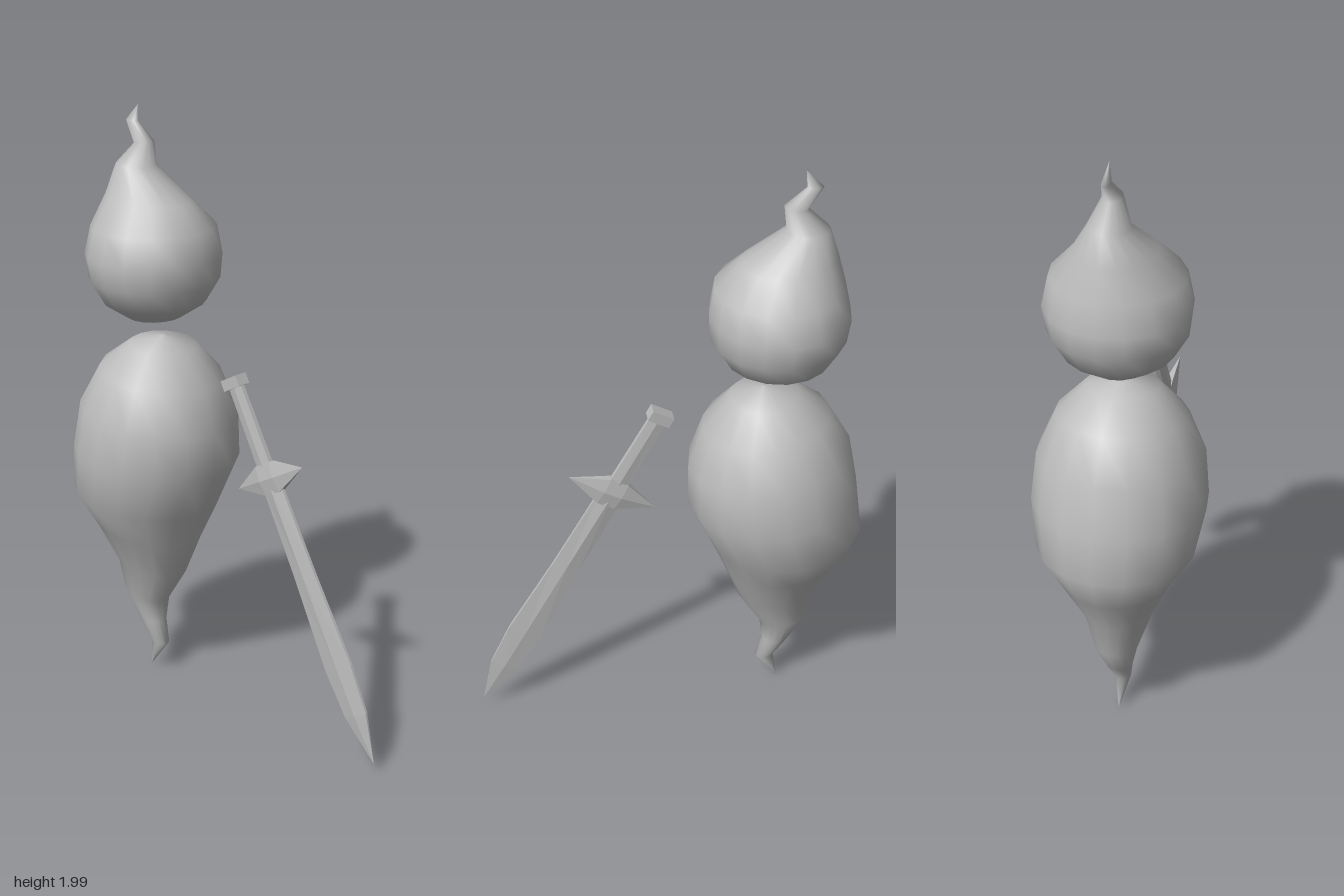
import * as THREE from 'three';

const grey = new THREE.MeshStandardMaterial({ color: 0xbcbcbc });
grey.name = 'plain grey';

// Skin a stack of closed rings, listed from top to bottom.
function loft(rings) {
  const n = rings[0].length;
  const index = [];
  for (let i = 0; i < rings.length - 1; i++) {
    for (let j = 0; j < n; j++) {
      const a = i * n + j, b = i * n + (j + 1) % n;
      index.push(a, b, a + n, b, b + n, a + n);
    }
  }
  const geo = new THREE.BufferGeometry();
  geo.setAttribute('position', new THREE.Float32BufferAttribute(rings.flat(2), 3));
  geo.setIndex(index);
  geo.computeVertexNormals();
  return geo;
}

// Smooth 16-sided form: each row is left x, left y, right x, right y, half depth.
function softForm(rows) {
  return loft(rows.map(([xl, yl, xr, yr, d]) => Array.from({ length: 16 }, (_, j) => {
    const a = j / 16 * Math.PI * 2, t = (Math.cos(a) + 1) / 2;
    return [xl + (xr - xl) * t, yl + (yr - yl) * t, Math.sin(a) * d];
  })));
}

// Faceted ridged bar: each row is y, half width, ridge depth, edge depth.
function ridgedBar(rows) {
  const geo = loft(rows.map(([y, w, r, e]) => [
    [w, y, e], [0, y, r], [-w, y, e], [-w, y, -e], [0, y, -r], [w, y, -e],
  ])).toNonIndexed();
  geo.computeVertexNormals();
  return geo;
}

function add(group, name, geo) {
  const mesh = new THREE.Mesh(geo, grey);
  mesh.name = name;
  group.add(mesh);
  return mesh;
}

export function createModel() {
  const model = new THREE.Group();
  model.name = 'floatingSpirit';

  // Head with a bent wisp on top
  add(model, 'head', softForm([
    [-0.415, 2.0, -0.415, 2.0, 0],
    [-0.47, 1.945, -0.418, 1.945, 0.014],
    [-0.425, 1.878, -0.352, 1.888, 0.03],
    [-0.495, 1.81, -0.362, 1.805, 0.065],
    [-0.525, 1.72, -0.22, 1.70, 0.125],
    [-0.553, 1.62, -0.145, 1.62, 0.205],
    [-0.574, 1.525, -0.13, 1.525, 0.225],
    [-0.563, 1.445, -0.135, 1.445, 0.215],
    [-0.516, 1.365, -0.18, 1.37, 0.17],
    [-0.44, 1.312, -0.26, 1.317, 0.09],
    [-0.35, 1.298, -0.35, 1.298, 0],
  ]));

  // Body tapering into a curled tail
  add(model, 'body', softForm([
    [-0.31, 1.257, -0.31, 1.257, 0],
    [-0.42, 1.237, -0.204, 1.217, 0.115],
    [-0.526, 1.16, -0.114, 1.106, 0.205],
    [-0.60, 1.03, -0.07, 0.968, 0.262],
    [-0.632, 0.868, -0.07, 0.82, 0.277],
    [-0.653, 0.714, -0.145, 0.66, 0.25],
    [-0.595, 0.582, -0.193, 0.545, 0.175],
    [-0.51, 0.434, -0.25, 0.40, 0.11],
    [-0.495, 0.312, -0.325, 0.28, 0.07],
    [-0.43, 0.2, -0.336, 0.196, 0.045],
    [-0.378, 0.12, -0.315, 0.116, 0.028],
    [-0.394, 0.01, -0.394, 0.01, 0],
  ]));

  // Sword, built upright and then tilted
  const sword = new THREE.Group();
  sword.name = 'sword';
  add(sword, 'blade', ridgedBar([
    [0, 0, 0, 0],
    [0, 0.042, 0.015, 0.005],
    [-0.33, 0.047, 0.013, 0.005],
    [-0.64, 0.06, 0.012, 0.005],
    [-0.8, 0.049, 0.01, 0.004],
    [-0.964, 0, 0, 0],
  ]));
  add(sword, 'crossguard', ridgedBar([
    [0.159, 0, 0, 0],
    [0.032, 0.05, 0.02, 0.012],
    [-0.032, 0.05, 0.02, 0.012],
    [-0.159, 0, 0, 0],
  ])).rotation.z = Math.PI / 2;
  add(sword, 'grip', ridgedBar([
    [0.32, 0.029, 0.012, 0.007],
    [0.03, 0.031, 0.014, 0.008],
  ]));
  add(sword, 'pommel', new THREE.BoxGeometry(0.076, 0.036, 0.046)).position.y = 0.325;
  sword.position.set(0.179, 0.89, 0);
  sword.rotation.z = 0.506;
  model.add(sword);

  return model;
}
